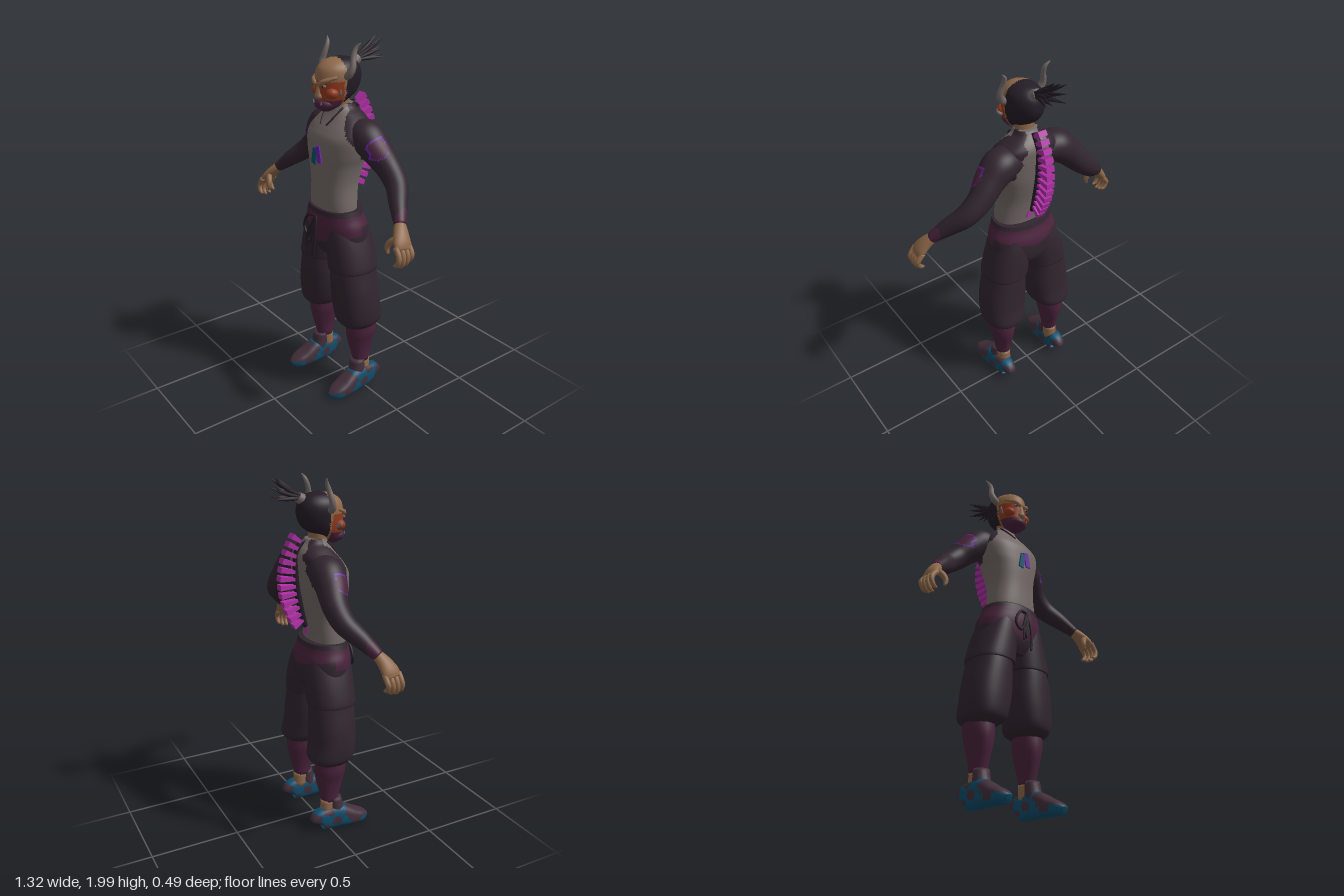
import * as THREE from 'three';

const mat = (name, color) => Object.assign(new THREE.MeshStandardMaterial({ color }), { name });
const M = {
  cloth: mat('dark plum cloth', 0x31252f),
  hair: mat('black hair', 0x241c26),
  grey: mat('warm grey', 0x746a67),
  maroon: mat('maroon', 0x4a233c),
  skin: mat('tan skin', 0x8f694a),
  magenta: mat('magenta', 0xb030a6),
  violet: mat('violet', 0x6a22a4),
  blue: mat('petrol blue', 0x0e4e6c),
  red: mat('mask red', 0x91391f),
  shoe: mat('shoe plum', 0x422f3b),
};

// Smooth skin through rows of [x, y, z, radiusA, radiusB].
// level: rings stay horizontal (rows ascend, A along x, B along z);
// otherwise rings stand across the path, with B along the ref axis.
function sweep(rows, { level = false, ref = [0, 0, 1], sides = 24, steps = 4, p = 2 } = {}) {
  const n = rows.length, total = (n - 1) * steps;
  const spline = new THREE.CubicInterpolant(rows.map((_, i) => i), rows.flatMap(r => r.length > 4 ? r : [...r, r[3]]), 5);
  const at = t => Array.from(spline.evaluate(t));
  const pos = [], index = [];
  const V0 = new THREE.Vector3(...ref);
  const pw = c => Math.sign(c) * Math.abs(c) ** (2 / p);
  for (let i = 0; i <= total; i++) {
    const t = i / steps, r = at(t);
    const e = at(Math.min(t + 0.05, n - 1)), s = at(Math.max(t - 0.05, 0));
    const T = level ? new THREE.Vector3(0, 1, 0) : new THREE.Vector3(e[0] - s[0], e[1] - s[1], e[2] - s[2]).normalize();
    const V = V0.clone().addScaledVector(T, -T.dot(V0)).normalize();
    const U = new THREE.Vector3().crossVectors(T, V);
    for (let j = 0; j < sides; j++) {
      const a = j / sides * Math.PI * 2, ca = pw(Math.cos(a)) * r[3], sa = pw(Math.sin(a)) * r[4];
      pos.push(r[0] + U.x * ca + V.x * sa, r[1] + U.y * ca + V.y * sa, r[2] + U.z * ca + V.z * sa);
    }
  }
  for (let i = 0; i < total; i++) for (let j = 0; j < sides; j++) {
    const a = i * sides + j, b = i * sides + (j + 1) % sides;
    index.push(a, a + sides, b, b, a + sides, b + sides);
  }
  // end caps
  const c0 = pos.length / 3, last = total * sides;
  pos.push(...rows[0].slice(0, 3), ...rows[n - 1].slice(0, 3));
  for (let j = 0; j < sides; j++) {
    const k = (j + 1) % sides;
    index.push(c0, j, k, c0 + 1, last + k, last + j);
  }
  const g = new THREE.BufferGeometry();
  g.setAttribute('position', new THREE.Float32BufferAttribute(pos, 3));
  g.setIndex(index);
  g.computeVertexNormals();
  return g;
}

// Sorts triangles into material groups; rule(x, y, z) returns an index into mats.
function paint(g, mats, rule) {
  const P = g.attributes.position, I = g.index.array, bins = mats.map(() => []);
  for (let k = 0; k < I.length; k += 3) {
    const t = [I[k], I[k + 1], I[k + 2]];
    const mid = f => (P[f](t[0]) + P[f](t[1]) + P[f](t[2])) / 3;
    bins[rule(mid('getX'), mid('getY'), mid('getZ'))].push(...t);
  }
  g.setIndex(bins.flat());
  let start = 0;
  bins.forEach((b, i) => { g.addGroup(start, b.length, i); start += b.length; });
  return g;
}

export function createModel() {
  const model = new THREE.Group();
  const add = (name, g, m, x = 0, y = 0, z = 0) => {
    const mesh = new THREE.Mesh(g, m);
    mesh.name = name;
    mesh.position.set(x, y, z);
    model.add(mesh);
    return mesh;
  };
  const flip = (rows, s) => rows.map(([x, ...r]) => [x * s, ...r]);

  // Shirt body: grey centre, dark raglan yoke
  const torso = sweep([
    [0, 1.09, .066, .153, .1], [0, 1.14, .067, .151, .102], [0, 1.25, .06, .143, .11], [0, 1.35, .05, .158, .125],
    [0, 1.42, .043, .182, .132], [0, 1.5, .034, .198, .133], [0, 1.55, .018, .19, .122], [0, 1.59, .003, .163, .107],
    [0, 1.625, 0, .115, .086], [0, 1.65, .006, .075, .068], [0, 1.675, .012, .06, .055]],
  { level: true, sides: 72, steps: 6, p: 2.3 });
  add('shirtBody', paint(torso, [M.grey, M.cloth], (x, y, z) => {
    const ax = Math.abs(x);
    if (z > 0.02) return ax > 0.1 + (1.62 - y) * 0.7 && y > 1.36 ? 1 : 0;
    return y > 1.4 && ax > 0.06 + (1.62 - y) * 0.38 + 0.01 * Math.sin(y * 90) ? 1 : 0;
  }), [M.grey, M.cloth]);
  add('neck', sweep([[0, 1.58, .02, .055], [0, 1.65, .025, .056, .05], [0, 1.74, .035, .06]], { level: true }), M.skin);

  // Chest tags
  [[-1, M.blue, -.018, 1.405], [1, M.violet, .02, 1.42]].forEach(([s, m, x, y]) => {
    const tag = add('chestTag', new THREE.BoxGeometry(.034, .09, .008), m, x, y, .178);
    tag.rotation.z = s * .2;
  });

  // Hips with maroon yoke and dark waistband
  const hips = sweep([[0, .84, .037, .08, .1], [0, .9, .037, .195, .128], [0, 1, .045, .206, .14],
    [0, 1.07, .055, .183, .13], [0, 1.115, .058, .168, .122]], { level: true, sides: 64, steps: 8, p: 2.2 });
  const yoke = (x, y, z) => y > 1.085 || y < (z > .03 ? .91 + .35 * Math.abs(x) : .98 + .25 * Math.abs(x)) ? 0 : 1;
  add('hips', paint(hips, [M.cloth, M.maroon], yoke), [M.cloth, M.maroon]);

  // Drawstring bow
  [[[0, 1.07, .187, .008], [-.06, 1.06, .198, .008], [-.095, .99, .2, .008], [-.06, .95, .205, .008], [-.02, 1.02, .2, .008], [0, 1.07, .19, .008]],
    [[0, 1.07, .187, .008], [-.015, .99, .205, .008], [-.04, .94, .215, .008], [-.03, .91, .21, .008], [-.005, .98, .2, .008], [0, 1.07, .19, .008]],
    [[0, 1.07, .187, .007], [.015, .99, .203, .007], [.012, .9, .213, .007], [0, .84, .217, .006]],
    [[0, 1.07, .187, .007], [-.04, .98, .208, .007], [-.05, .89, .213, .006]]]
    .forEach(rows => add('drawstring', sweep(rows, { sides: 8 }), M.hair));

  for (const s of [1, -1]) {
    // Sleeve with torn patch
    const sleeve = sweep(flip([[.1, 1.53, -.01, .07, .082], [.175, 1.52, -.015, .09, .096], [.245, 1.465, -.025, .079, .086],
      [.32, 1.387, -.045, .067, .068], [.4, 1.315, -.035, .058, .06], [.48, 1.245, .02, .046, .048], [.555, 1.177, .072, .029, .031]], s),
    { sides: 40, steps: 10 });
    const patch = (x, y, z) => {
      const d = Math.hypot(Math.abs(x) - .3, y - 1.485, z - .005) + .008 * Math.sin(y * 110 + z * 70);
      return d < .05 ? 1 : d < .062 && z > -.035 ? 2 : Math.abs(x) > .535 ? 1 : 0;
    };
    add('sleeve', paint(sleeve, [M.cloth, M.maroon, M.violet], patch), [M.cloth, M.maroon, M.violet]);

    // Hand with curled fingers
    add('palm', sweep(flip([[.54, 1.19, .062, .027, .027], [.58, 1.15, .088, .028, .04], [.612, 1.11, .105, .025, .05], [.63, 1.08, .112, .016, .046]], s)), M.skin);
    for (let f = 0; f < 4; f++) {
      const z = .07 + f * .027, dy = [.018, .004, 0, .01][f];
      add('finger', sweep(flip([[.615, 1.1, z, .015], [.642, 1.066, z + .002, .0145], [.648, 1.03 + dy, z + .005, .0135],
        [.635, 1.003 + dy, z + .006, .012], [.615, .995 + dy, z + .005, .007]], s), { sides: 10 }), M.skin);
    }
    add('thumb', sweep(flip([[.59, 1.13, .12, .018], [.56, 1.105, .138, .017], [.548, 1.075, .146, .014], [.556, 1.045, .147, .007]], s), { sides: 10 }), M.skin);

    // Baggy trouser leg: upper part overlaps the lower at a stepped seam
    add('upperLeg', sweep(flip([[.133, .775, .038, .126, .133], [.13, .8, .038, .127, .134], [.115, .88, .038, .118, .135],
      [.1, .97, .042, .1, .13], [.085, 1.05, .05, .08, .115]], s), { level: true, sides: 40, p: 2.3 }), M.cloth);
    add('lowerLeg', sweep(flip([[.18, .425, .02, .07, .085], [.175, .437, .018, .088, .108], [.168, .47, .018, .117, .132],
      [.16, .55, .03, .13, .13], [.15, .65, .035, .13, .129], [.14, .75, .037, .118, .127], [.13, .84, .037, .11, .12]], s),
    { level: true, sides: 40, steps: 6, p: 2.3 }), M.cloth);

    // Maroon leggings, ankle, shoe
    add('legging', sweep(flip([[.178, .18, .008, .041, .05], [.178, .25, .01, .048, .066], [.178, .32, .01, .062, .084],
      [.18, .38, .01, .076, .092], [.18, .45, .01, .078, .09]], s), { level: true }), M.maroon);
    add('ankle', sweep(flip([[.18, .1, -.005, .04, .042], [.178, .19, 0, .038, .044]], s), { level: true }), M.skin);
    add('shoeTongue', sweep(flip([[.19, .07, .06, .052, .06], [.187, .13, .045, .049, .047], [.184, .195, .04, .045, .038]], s), { level: true }), M.shoe);
    const shoe = sweep(flip([[.19, .05, -.072, .046, .025], [.19, .066, -.058, .064, .043], [.19, .071, 0, .07, .051], [.192, .074, .05, .073, .055],
      [.195, .063, .1, .063, .058], [.198, .049, .15, .049, .059], [.2, .037, .2, .037, .052], [.2, .027, .233, .026, .032], [.2, .022, .243, .015, .012]], s),
    { ref: [1, 0, 0], sides: 40, steps: 8, p: 2.7 });
    const camo = (x, y, z) => {
      if (y < .022) return 1;
      if (z > .1 && y > .05) return 0;
      return Math.sin(z * 62 + y * 45) + Math.sin(y * 75 - z * 34 + 1) > -.25 ? 1 : 0;
    };
    add('shoe', paint(shoe, [M.shoe, M.blue], camo), [M.shoe, M.blue]);

    // Collar cord
    add('collarCord', sweep(flip([[.062, 1.66, .05, .005], [.05, 1.62, .092, .005], [.025, 1.57, .133, .004]], s), { sides: 8 }), M.cloth);

    // Horn
    add('horn', sweep(flip([[.08, 1.82, .05, .018], [.115, 1.838, .05, .02], [.13, 1.875, .04, .017], [.12, 1.925, .028, .014],
      [.12, 1.965, .013, .011], [.14, 1.992, 0, .003]], s), { sides: 14 }), M.grey);

    // Mask side: brow, eye, cheek, tusks
    add('brow', sweep(flip([[.012, 1.785, .168, .012], [.045, 1.805, .155, .013], [.085, 1.825, .105, .008]], s), { ref: [0, 1, 0], sides: 12 }), M.skin);
    const eye = add('eye', new THREE.SphereGeometry(1, 14, 10), M.grey, s * .042, 1.78, .155);
    eye.scale.set(.015, .008, .009);
    const pupil = add('pupil', new THREE.SphereGeometry(.005, 10, 8), M.hair, s * .041, 1.78, .162);
    pupil.scale.y = 1.2;
    const cheek = add('cheek', new THREE.SphereGeometry(1, 20, 14), M.red, s * .058, 1.742, .118);
    cheek.scale.set(.036, .03, .036);
    add('tusk', sweep(flip([[.09, 1.735, .09, .009], [.108, 1.75, .1, .007], [.11, 1.772, .1, .001]], s), { sides: 8 }), M.grey);
    add('fang', sweep(flip([[.03, 1.685, .165, .006], [.036, 1.705, .17, .001]], s), { sides: 8 }), M.grey);
  }

  // Head: skin forehead, hair cap, painted mask
  const head = sweep([[0, 1.643, .115, .025, .025], [0, 1.665, .1, .055, .055], [0, 1.69, .08, .07, .08], [0, 1.73, .05, .088, .112],
    [0, 1.78, .037, .097, .128], [0, 1.83, .034, .099, .129], [0, 1.87, .033, .087, .114], [0, 1.9, .028, .055, .075], [0, 1.914, .025, .01, .012]],
  { level: true, sides: 56, steps: 6 });
  const headMats = [M.skin, M.hair, M.red, M.maroon];
  add('head', paint(head, headMats, (x, y, z) => {
    if (z < .05) return y > 1.685 ? 1 : 0;
    if (y > 1.8 || z < .062) return 0;
    return y > 1.705 ? 2 : 3;
  }), headMats);
  const muzzle = add('maskMuzzle', new THREE.SphereGeometry(1, 24, 16), M.maroon, 0, 1.682, .12);
  muzzle.scale.set(.06, .036, .055);
  add('nose', sweep([[0, 1.708, .155, .016, .012], [0, 1.722, .158, .026, .021], [0, 1.745, .155, .019, .021], [0, 1.79, .15, .014, .016]],
    { level: true, sides: 16 }), M.skin);

  // Hair tie and ponytail strands
  const tie = add('hairTie', new THREE.CylinderGeometry(.026, .03, .03, 16), M.grey, 0, 1.885, -.08);
  tie.rotation.x = -1;
  for (let i = 0; i < 15; i++) {
    const a = (i % 5 - 2) / 2, b = Math.floor(i / 5) / 2, len = 1 - .2 * ((i * 7) % 5) / 4;
    const x = a * .05, y = 1.9 + b * .095 - Math.abs(a) * .01, z = -.1 - .142 * len;
    add('ponytailStrand', sweep([[a * .012, 1.885 + b * .01, -.075, .008], [x * .5, (y + 1.895) / 2 - .005, (z - .08) / 2, .011, .009], [x, y, z, .001]],
      { ref: [1, 0, 0], sides: 6 }), M.hair);
  }

  // Spine: dark rod with flared magenta plates
  add('spineRod', sweep([[0, 1.67, -.065, .016], [0, 1.6, -.1, .018], [0, 1.45, -.105, .018], [0, 1.3, -.08, .018], [0, 1.19, -.05, .014]], { ref: [1, 0, 0], sides: 12 }), M.hair);
  for (let i = 0; i < 12; i++) {
    const t = i / 11, bulge = Math.sin(Math.PI * (.12 + t * .8));
    const len = .055 + .048 * bulge, g = new THREE.BoxGeometry(.05, .03, len);
    const P = g.attributes.position;
    for (let k = 0; k < P.count; k++) if (P.getZ(k) > 0) P.setXY(k, P.getX(k) * .55, P.getY(k) * .55);
    g.translate(0, 0, -len / 2);
    g.computeVertexNormals();
    const plate = add('spinePlate', g, M.magenta, 0, 1.655 - t * .425, -.055 - .05 * bulge);
    plate.rotation.x = .6 - t * 1.05;
  }
  add('backMark', new THREE.BoxGeometry(.025, .05, .008), M.magenta, .012, 1.165, -.038).rotation.z = .4;

  return model;
}
